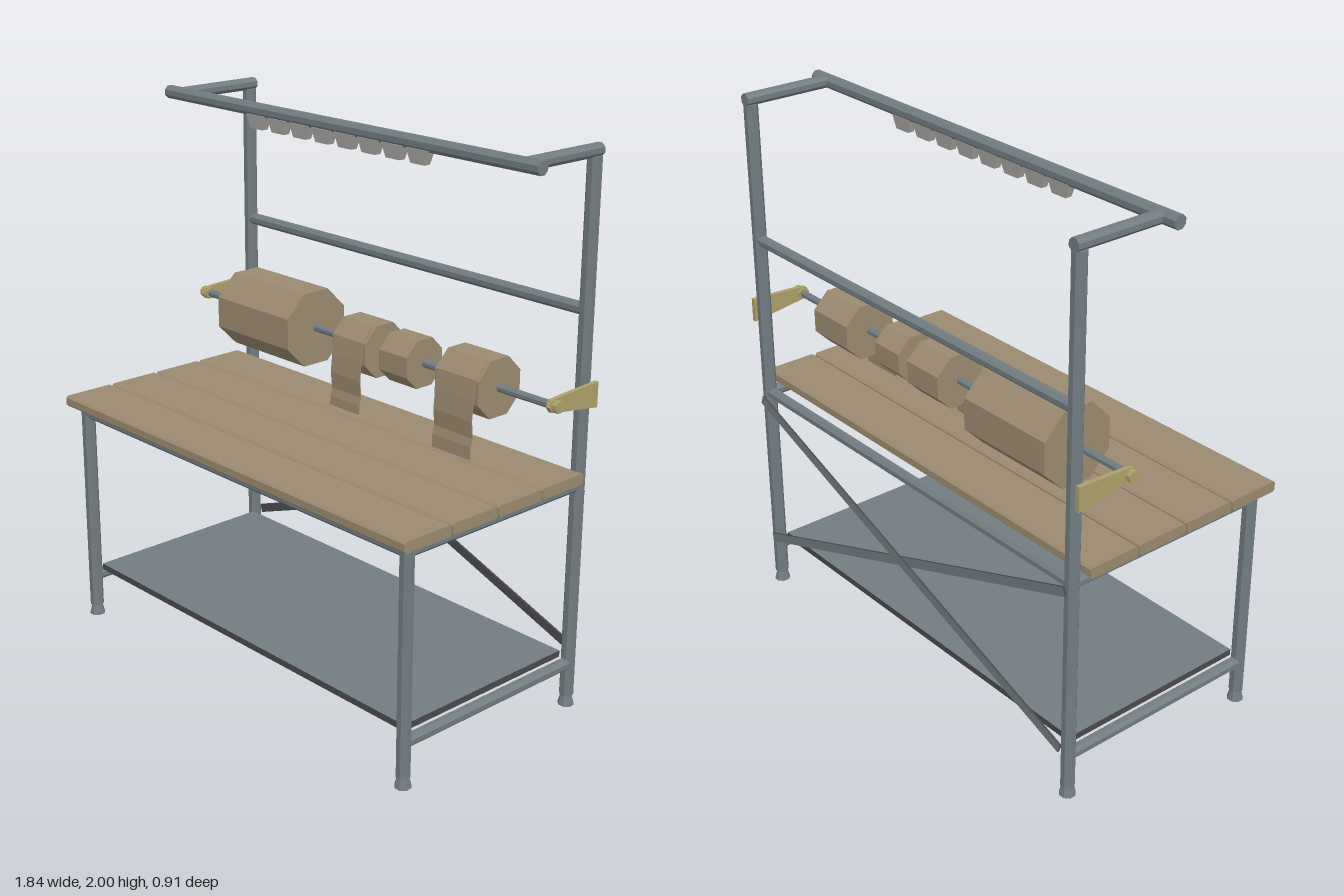
import * as THREE from 'three';

const mat = (name, color, extra = {}) => {
  const m = new THREE.MeshStandardMaterial({ color, flatShading: true, ...extra });
  m.name = name;
  return m;
};

export function createModel() {
  const group = new THREE.Group();
  const steel = mat('steel grey', 0x727c81);
  const dark = mat('dark steel', 0x4a494d);
  const wood = mat('wood', 0x9c8a70);
  const brass = mat('brass', 0xada068);
  const pale = mat('pale grey', 0xaaa7a5);
  const paper = mat('wrapping paper', 0x9c8a70, { side: THREE.DoubleSide });

  const add = (name, geo, material, x = 0, y = 0, z = 0) => {
    const m = new THREE.Mesh(geo, material);
    m.name = name;
    m.position.set(x, y, z);
    group.add(m);
    return m;
  };

  // Eight-sided bar with flat faces on the axes; width is flat to flat
  const bar = (name, axis, from, to, width, material, a, b) => {
    const r = width / 2 / Math.cos(Math.PI / 8);
    const geo = new THREE.CylinderGeometry(r, r, to - from, 8);
    geo.rotateY(Math.PI / 8);
    if (axis === 'x') geo.rotateZ(-Math.PI / 2);
    if (axis === 'z') geo.rotateX(Math.PI / 2);
    const c = (from + to) / 2;
    const p = { x: [c, a, b], y: [a, c, b], z: [a, b, c] }[axis];
    return add(name, geo, material, ...p);
  };

  // Outline given as [z, y] points, extruded along x
  const profileX = (name, points, x0, x1, material) => {
    const shape = new THREE.Shape(points.map(([z, y]) => new THREE.Vector2(-z, y)));
    const geo = new THREE.ExtrudeGeometry(shape, { depth: x1 - x0, bevelEnabled: false });
    geo.rotateY(Math.PI / 2);
    return add(name, geo, material, x0, 0, 0);
  };

  const W = 0.048, POST_X = 0.85, FRONT = 0.395, REAR = -0.415;
  const SHAFT_Y = 1.175, SHAFT_Z = -0.225;

  // Sides: posts, feet, side rails, top arms and shaft brackets
  for (const s of [-1, 1]) {
    const x = s * POST_X;
    bar('frontPost', 'y', 0.04, 0.86, W, steel, x, FRONT);
    bar('rearPost', 'y', 0.04, 1.96, W, steel, x, REAR);
    for (const z of [FRONT, REAR]) {
      const foot = new THREE.CylinderGeometry(0.02, 0.03, 0.04, 8);
      foot.rotateY(Math.PI / 8);
      add('foot', foot, steel, x, 0.02, z);
    }
    bar('upperSideRail', 'z', REAR, FRONT, 0.04, steel, x, 0.836);
    bar('lowerSideRail', 'z', REAR, FRONT, 0.042, steel, x, 0.163);
    bar('topArm', 'z', -0.438, -0.085, 0.043, steel, x, 1.978);

    const plate = [[-0.438, 1.12], [-0.235, 1.15], [-0.208, 1.155], [-0.195, 1.175],
      [-0.208, 1.196], [-0.235, 1.201], [-0.438, 1.21]];
    profileX('shaftBracket', plate, s * 0.889 - 0.008, s * 0.889 + 0.008, brass);
    bar('shaftNut', 'x', s * 0.895 - 0.021, s * 0.895 + 0.021, 0.04, brass, SHAFT_Y, SHAFT_Z);
  }

  // Cross rails
  bar('frontTableRail', 'x', -POST_X, POST_X, 0.04, steel, 0.836, FRONT);
  bar('rearTableRail', 'x', -POST_X, POST_X, 0.04, steel, 0.836, REAR);
  bar('middleRail', 'x', -POST_X, POST_X, 0.04, steel, 1.452, REAR);
  bar('topBar', 'x', -0.92, 0.92, 0.046, steel, 1.977, -0.085);

  // Tabletop planks with bevelled long edges
  for (let i = 0; i < 4; i++) {
    const z1 = 0.457 - i * 0.2115, z0 = z1 - 0.205, b = 0.007;
    profileX('plank', [[z1, 0.86 + b], [z1, 0.9 - b], [z1 - b, 0.9], [z0 + b, 0.9],
      [z0, 0.9 - b], [z0, 0.86 + b], [z0 + b, 0.86], [z1 - b, 0.86]], -0.9, 0.9, wood);
  }

  // Lower shelf: grey top on a dark panel
  add('lowerShelf', new THREE.BoxGeometry(1.66, 0.024, 0.765),
    [dark, dark, steel, dark, dark, dark], 0, 0.197, -0.008);

  // Crossed rear braces, grey on the outside
  for (const s of [-1, 1]) {
    const brace = add('rearBrace', new THREE.BoxGeometry(1.8, 0.034, 0.008),
      [dark, dark, dark, dark, dark, steel], 0, 0.508, s < 0 ? -0.443 : -0.451);
    brace.rotation.z = s * Math.atan2(0.6, 1.66);
  }

  // Shaft and its paper rolls: x from, x to, width
  bar('rollShaft', 'x', -0.89, 0.89, 0.026, steel, SHAFT_Y, SHAFT_Z);
  for (const [x0, x1, w] of [[-0.655, -0.257, 0.278], [-0.062, 0.106, 0.192],
    [0.167, 0.303, 0.174], [0.453, 0.652, 0.204]]) {
    bar('paperRoll', 'x', x0, x1, w, wood, SHAFT_Y, SHAFT_Z);
  }

  // Loose sheets hanging from two rolls
  for (const [x0, x1, r, bottom] of [[-0.052, 0.097, 0.096, 0.957], [0.466, 0.641, 0.102, 0.945]]) {
    const zf = SHAFT_Z + r + 0.004, t = 0.004;
    const line = [[zf - r * 0.55, SHAFT_Y + r], [zf - 0.002, SHAFT_Y + r * 0.45], [zf + 0.008, 1.15],
      [zf + 0.014, 1.08], [zf + 0.008, 1.02], [zf + 0.016, 0.99], [zf + 0.017, bottom]];
    const back = line.map(([z, y]) => [z - t, y]).reverse();
    profileX('hangingSheet', [...line, ...back], x0, x1, paper);
  }

  // Row of small tapered holders under the top bar
  for (let i = 0; i < 8; i++) {
    const geo = new THREE.BoxGeometry(0.098, 0.05, 0.036);
    const p = geo.attributes.position;
    for (let k = 0; k < p.count; k++) {
      if (p.getY(k) < 0) p.setXYZ(k, p.getX(k) * 0.66, p.getY(k), p.getZ(k) * 0.7);
    }
    add('holder', geo, pale, -0.402 + i * 0.1148, 1.935, -0.083);
  }

  return group;
}
